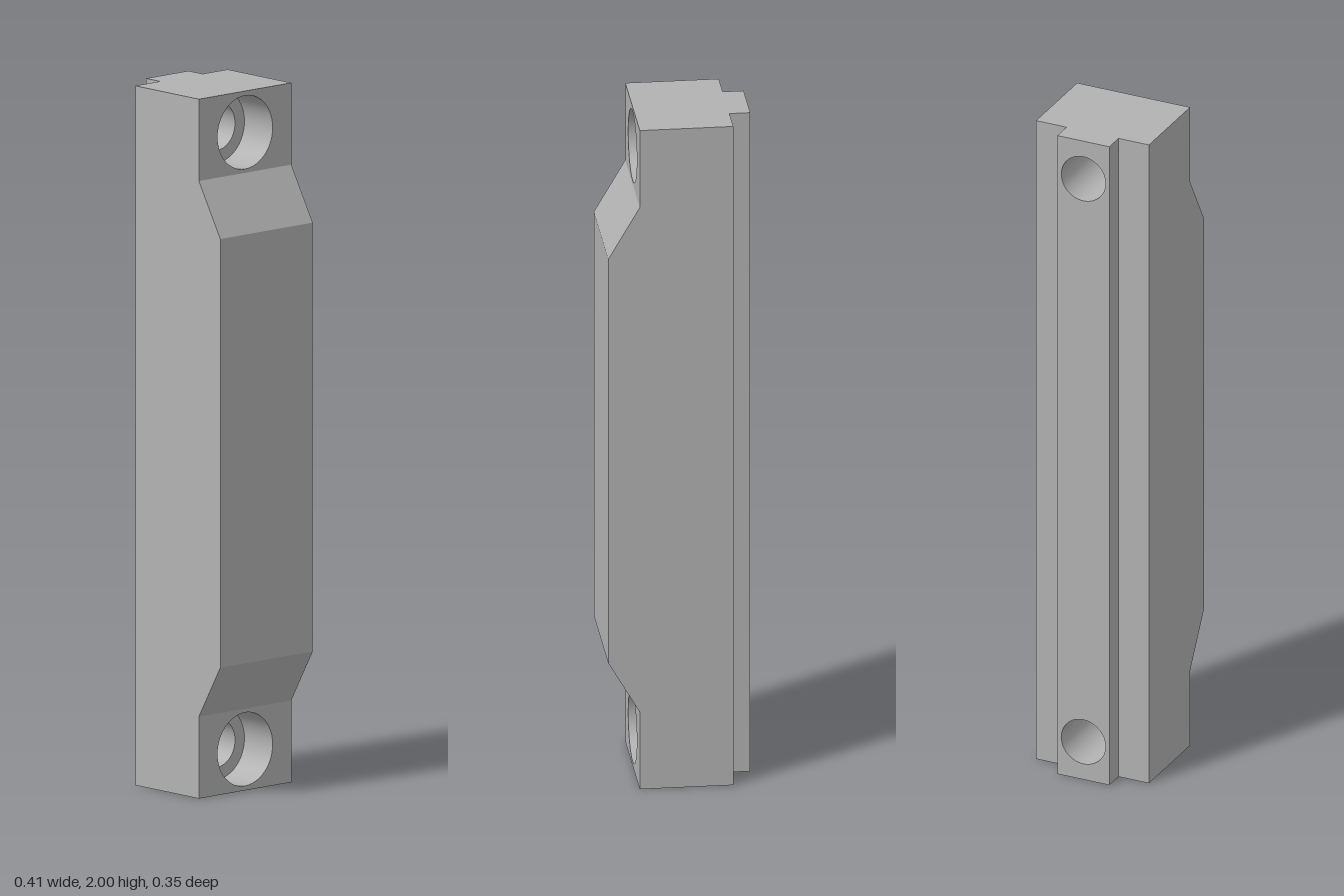
import * as THREE from 'three';

// Main dimensions, measured from the middle of the height
const H = 1, W = 0.176, TW = 0.081;            // half height, half width, tongue half width
const X0 = -0.206, X1 = -0.147, X2 = 0.117, X3 = 0.206; // tongue, shoulder, landing, front face
const YS = 0.613, YL = 0.766;                  // slope start, landing start
const HOLE_Y = 0.882, R_SMALL = 0.069, R_BIG = 0.105, SEAT_X = 0;

const X = new THREE.Vector3(1, 0, 0), Y = new THREE.Vector3(0, 1, 0);
const Z = new THREE.Vector3(0, 0, 1), NZ = new THREE.Vector3(0, 0, -1);

function polygon(points) {
  return new THREE.Shape(points.map(([a, b]) => new THREE.Vector2(a, b)));
}

function rectangle(a0, b0, a1, b1) {
  return polygon([[a0, b0], [a1, b0], [a1, b1], [a0, b1]]);
}

function addHole(shape, y, r) {
  const hole = new THREE.Path();
  hole.absarc(0, y, r, 0, Math.PI * 2, true);
  shape.holes.push(hole);
  return shape;
}

export function createModel() {
  const model = new THREE.Group();
  model.name = 'mountingBlock';
  const grey = new THREE.MeshStandardMaterial({ color: 0xb2b2b2, side: THREE.DoubleSide });
  grey.name = 'plain grey';

  // Flat face lying in the plane of u and v, facing u x v
  function face(parent, name, shape, origin, u, v) {
    const geometry = new THREE.ShapeGeometry(shape, 24);
    const n = new THREE.Vector3().crossVectors(u, v);
    geometry.applyMatrix4(new THREE.Matrix4().makeBasis(u, v, n).setPosition(...origin));
    const mesh = new THREE.Mesh(geometry, grey);
    mesh.name = name;
    parent.add(mesh);
  }

  // Round wall of a hole running along x
  function bore(parent, name, r, xa, xb) {
    const geometry = new THREE.CylinderGeometry(r, r, xb - xa, 48, 1, true);
    geometry.rotateZ(Math.PI / 2).translate((xa + xb) / 2, HOLE_Y, 0);
    const mesh = new THREE.Mesh(geometry, grey);
    mesh.name = name;
    parent.add(mesh);
  }

  // One half of the shell; the other half is the same, turned about x
  const half = new THREE.Group();
  half.name = 'upperHalf';
  face(half, 'sideFace', polygon([
    [X1, -H], [X2, -H], [X2, -YL], [X3, -YS], [X3, YS], [X2, YL], [X2, H], [X1, H],
  ]), [0, 0, W], X, Y);
  face(half, 'endFace', polygon([
    [X0, -TW], [X1, -TW], [X1, -W], [X2, -W], [X2, W], [X1, W], [X1, TW], [X0, TW],
  ]), [0, H, 0], X, NZ);
  face(half, 'tongueSide', rectangle(X0, -H, X1, H), [0, 0, TW], X, Y);
  face(half, 'shoulder', rectangle(TW, -H, W, H), [X1, 0, 0], Z, Y);

  // Sloped ramp down to the drilled landing
  const ramp = new THREE.Vector3(X2 - X3, YL - YS, 0);
  const rampLength = ramp.length();
  face(half, 'ramp', rectangle(-W, 0, W, rampLength), [X3, YS, 0], NZ, ramp.normalize());
  face(half, 'landing', addHole(rectangle(-W, YL, W, H), HOLE_Y, R_BIG), [X2, 0, 0], NZ, Y);

  // Counterbored screw hole
  bore(half, 'counterbore', R_BIG, SEAT_X, X2);
  bore(half, 'screwHole', R_SMALL, X0, SEAT_X);
  const seat = new THREE.Mesh(new THREE.RingGeometry(R_SMALL, R_BIG, 48), grey);
  seat.name = 'screwSeat';
  seat.rotation.y = Math.PI / 2;
  seat.position.set(SEAT_X, HOLE_Y, 0);
  half.add(seat);

  const other = half.clone();
  other.name = 'lowerHalf';
  other.rotation.x = Math.PI;

  // Faces that span both halves
  const body = new THREE.Group();
  body.name = 'body';
  face(body, 'raisedFace', rectangle(-W, -YS, W, YS), [X3, 0, 0], NZ, Y);
  const tongue = rectangle(-TW, -H, TW, H);
  for (const s of [-1, 1]) addHole(tongue, s * HOLE_Y, R_SMALL);
  face(body, 'tongueFace', tongue, [X0, 0, 0], Z, Y);

  body.add(half, other);
  body.position.y = H;
  model.add(body);
  return model;
}
